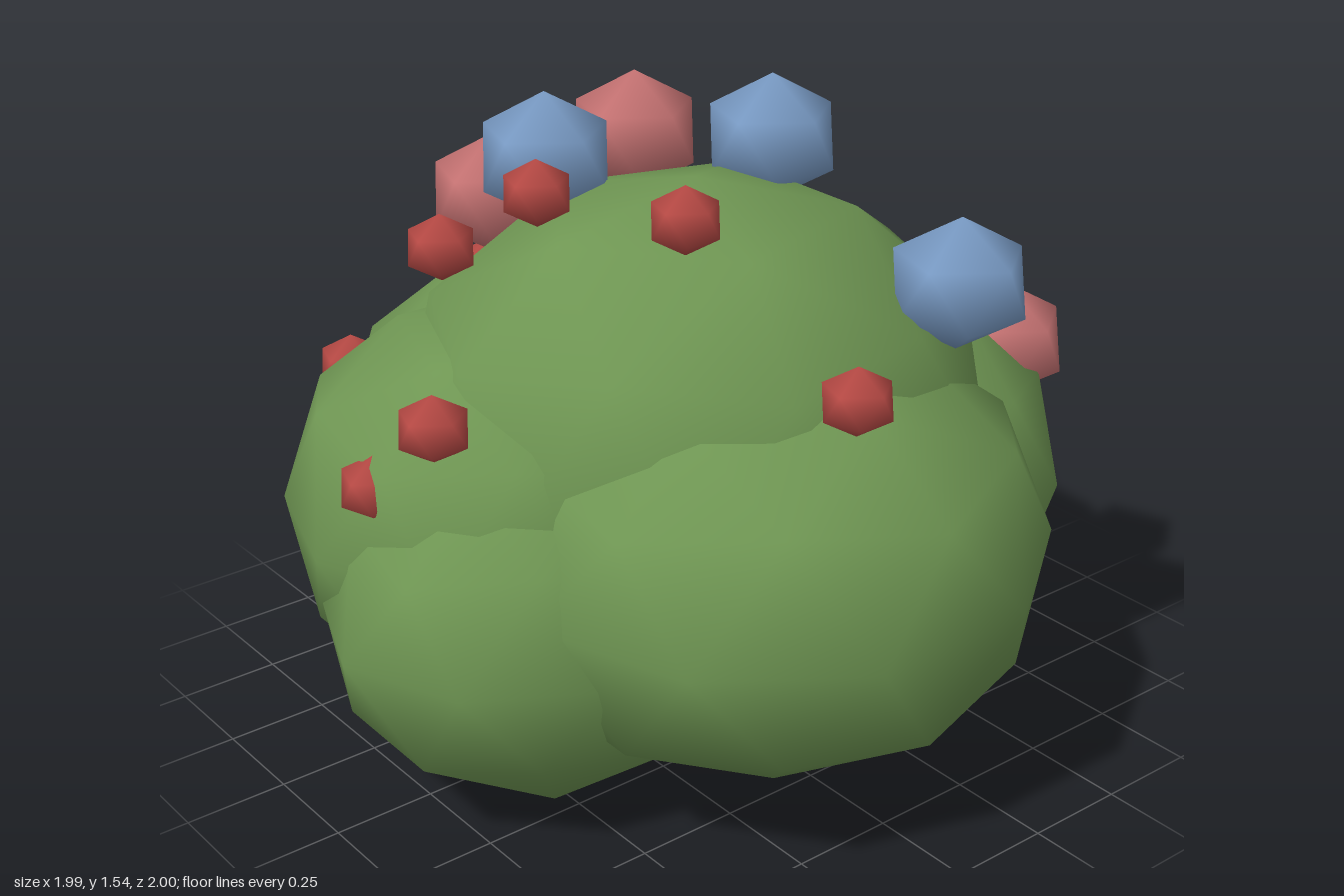
import * as THREE from 'three';

const leafGreen = new THREE.MeshStandardMaterial({ color: 0x6f9653 });
const petalBlue = new THREE.MeshStandardMaterial({ color: 0x7a9cc6 });
const petalPink = new THREE.MeshStandardMaterial({ color: 0xc87474 });
const berryRed = new THREE.MeshStandardMaterial({ color: 0xb84a45 });

const TURN = Math.PI / 10;

// Smooth-shaded icosphere with a vertex pointing straight up
function icoBall(detail) {
  const geometry = new THREE.IcosahedronGeometry(1, detail);
  geometry.rotateX(-Math.atan((1 + Math.sqrt(5)) / 2));
  geometry.setAttribute('normal', geometry.attributes.position.clone());
  return geometry;
}

// Foliage clump: an icosphere with fuller shoulders above and below its waist
function clumpShape() {
  const geometry = icoBall(1);
  const position = geometry.attributes.position;
  for (let i = 0; i < position.count; i++) {
    const y = position.getY(i);
    if (Math.abs(y) > 0.01) position.setY(i, Math.sign(y) * Math.abs(y) ** 0.85);
  }
  return geometry;
}

export function createModel() {
  const bush = new THREE.Group();
  bush.name = 'bush';
  const lump = clumpShape();
  const turnedLump = clumpShape().rotateY(TURN);
  const roundLump = icoBall(1).rotateY(TURN);
  const bead = icoBall(0).rotateY(TURN);

  const add = (name, geometry, material, position, scale) => {
    const mesh = new THREE.Mesh(geometry, material);
    mesh.name = name;
    mesh.position.set(...position);
    mesh.scale.set(...scale);
    bush.add(mesh);
  };

  // Overlapping foliage clumps: name, shape, centre, radii
  const clumps = [
    ['crownFoliage', lump, [0.05, 0.75, 0], [0.69, 0.63, 0.73]],
    ['leftFoliage', turnedLump, [0.37, 0.6, 0.04], [0.65, 0.49, 0.67]],
    ['rightFoliage', turnedLump, [-0.4, 0.54, 0.01], [0.63, 0.525, 0.61]],
    ['upperFrontFoliage', turnedLump, [-0.1, 0.645, 0.39], [0.56, 0.475, 0.56]],
    ['lowerFrontFoliage', roundLump, [0.08, 0.48, 0.41], [0.48, 0.48, 0.59]],
    ['lowerBackFoliage', turnedLump, [-0.06, 0.56, -0.43], [0.59, 0.52, 0.57]],
    ['upperBackFoliage', lump, [0.12, 0.565, -0.42], [0.54, 0.465, 0.54]],
  ];
  for (const [name, shape, centre, radii] of clumps) add(name, shape, leafGreen, centre, radii);

  // Round, slightly squat blossoms and berries resting on the foliage
  const scatter = (name, material, radius, centres) => centres.forEach((centre, i) =>
    add(name + (i + 1), bead, material, centre, [radius * 1.08, radius, radius * 1.08]));

  scatter('blueBlossom', petalBlue, 0.157, [
    [-0.05, 1.385, -0.32], [-0.29, 1.375, 0.17], [0.57, 1.195, -0.34], [-0.6, 1.12, -0.32],
  ]);
  scatter('pinkBlossom', petalPink, 0.155, [
    [-0.39, 1.345, -0.17], [-0.62, 1.18, 0.1], [0.285, 0.845, -0.8],
  ]);
  scatter('redBerry', berryRed, 0.08, [
    [-0.1, 1.37, 0.33], [0.27, 1.38, 0.2], [-0.24, 1.24, 0.5], [0.73, 1.09, 0.11],
    [0.11, 0.99, 0.76], [-0.01, 0.83, 0.84], [-0.62, 0.83, 0.53], [-0.79, 0.91, 0.02],
  ]);
  return bush;
}
